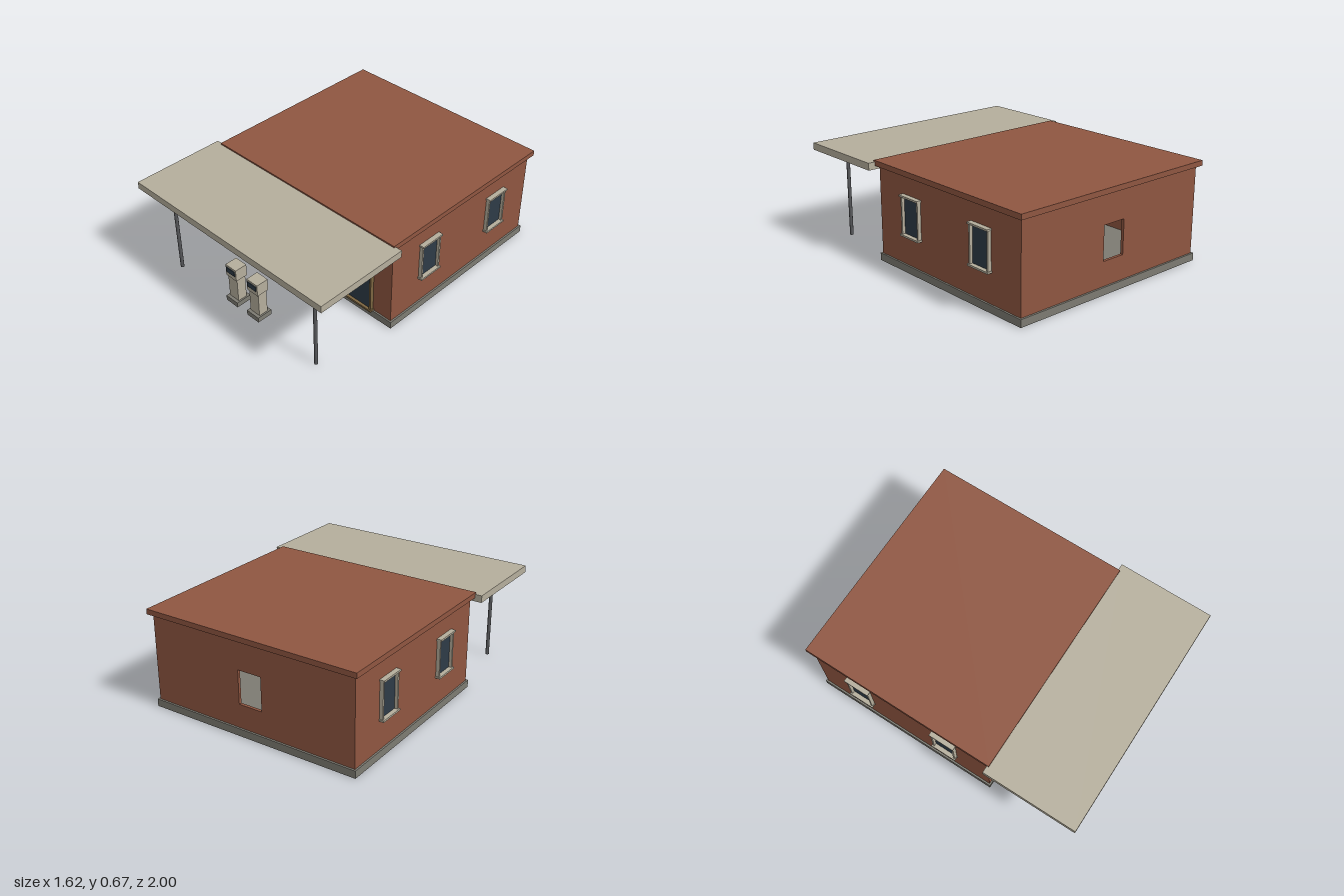
import * as THREE from 'three';

const mat = (name, color) => {
  const m = new THREE.MeshStandardMaterial({ color });
  m.name = name;
  return m;
};

export function createModel() {
  const brick = mat('brick red', 0x8f5641);
  const beige = mat('beige', 0xb5ae9c);
  const stone = mat('stone grey', 0x7d7b72);
  const steel = mat('dark steel', 0x58595c);
  const glass = mat('dark glass', 0x2e3b47);
  const wood = mat('brown frame', 0x7c6541);

  const model = new THREE.Group();
  model.name = 'fillingStation';

  // Box given by its extents on each axis
  const box = (parent, name, m, [x0, x1], [y0, y1], [z0, z1]) => {
    const mesh = new THREE.Mesh(new THREE.BoxGeometry(x1 - x0, y1 - y0, z1 - z0), m);
    mesh.position.set((x0 + x1) / 2, (y0 + y1) / 2, (z0 + z1) / 2);
    mesh.name = name;
    parent.add(mesh);
    return mesh;
  };
  const group = (name, parent = model) => {
    const g = new THREE.Group();
    g.name = name;
    parent.add(g);
    return g;
  };

  // Foundation, roof slab and canopy
  box(model, 'foundation', stone, [-0.75, 0.75], [0, 0.05], [-0.985, 0.35]);
  box(model, 'roof', brick, [-0.765, 0.765], [0.635, 0.67], [-1, 0.363]);
  box(model, 'canopy', beige, [-0.812, 0.812], [0.612, 0.66], [0.35, 1]);

  // Hollow walls; front and back have openings
  const T = 0.02, front = 0.339, back = -0.972, W = 0.738;
  const rect = (P, x0, x1, y0, y1) => {
    const p = new P();
    p.moveTo(x0, y0).lineTo(x1, y0).lineTo(x1, y1).lineTo(x0, y1).closePath();
    return p;
  };
  const wall = (name, z, holes) => {
    const s = rect(THREE.Shape, -W, W, 0.05, 0.635);
    s.holes = holes.map((h) => rect(THREE.Path, ...h));
    const mesh = new THREE.Mesh(new THREE.ExtrudeGeometry(s, { depth: T, bevelEnabled: false }), brick);
    mesh.position.z = z;
    mesh.name = name;
    model.add(mesh);
  };
  wall('frontWall', front - T, [[-0.54, -0.345, 0.06, 0.537], [-0.147, 0.59, 0.06, 0.537]]);
  wall('backWall', back, [[-0.083, 0.085, 0.21, 0.437]]);
  for (const s of [-1, 1]) {
    const xs = [s * W, s * (W - T)].sort((a, b) => a - b);
    box(model, 'sideWall', brick, xs, [0.05, 0.635], [back + T, front - T]);
  }

  // Front door and shop window: posts, projecting rails, centre bar and glass
  const glazing = (name, x0, x1, y0, y1, bar, post) => {
    const g = group(name);
    const z = [0.32, 0.365], rail = [x0 - 0.007, x1 + 0.007];
    box(g, 'leftPost', wood, [x0, x0 + post], [y0, y1], z);
    box(g, 'rightPost', wood, [x1 - post, x1], [y0, y1], z);
    box(g, 'topRail', wood, rail, [y1 - 0.014, y1], [0.32, 0.373]);
    box(g, 'bottomRail', wood, rail, [y0, y0 + 0.014], [0.32, 0.373]);
    box(g, 'centreBar', wood, [x0 + post, x1 - post], [bar - 0.003, bar + 0.003], [0.35, 0.36]);
    box(g, 'pane', glass, [x0 + post, x1 - post], [y0 + 0.012, y1 - 0.012], [0.346, 0.354]);
  };
  glazing('door', -0.54, -0.342, 0.012, 0.485, 0.265, 0.017);
  glazing('shopWindow', -0.13, 0.593, 0.05, 0.537, 0.307, 0.013);

  // Two framed windows on each side wall
  for (const s of [-1, 1]) {
    for (const zc of [0.008, -0.64]) {
      const g = group('sideWindow');
      const part = (name, m, a, b, y, z) =>
        box(g, name, m, [s * a, s * b].sort((p, q) => p - q), y, z);
      part('pane', glass, 0.735, 0.742, [0.25, 0.5], [zc - 0.08, zc + 0.08]);
      for (const e of [-1, 1]) {
        const c = zc + e * 0.079;
        part('jamb', beige, 0.735, 0.762, [0.25, 0.5], [c - 0.006, c + 0.006]);
      }
      for (const y of [0.243, 0.497])
        part('sill', beige, 0.735, 0.771, [y, y + 0.012], [zc - 0.09, zc + 0.09]);
    }
  }

  // Canopy posts
  for (const s of [-1, 1]) {
    const post = new THREE.Mesh(new THREE.CylinderGeometry(0.012, 0.012, 0.612, 12), steel);
    post.position.set(s * 0.63, 0.306, 0.872);
    post.name = 'canopyPost';
    model.add(post);
  }

  // Fuel pumps
  for (const x of [-0.1, 0.095]) {
    const g = group('pump');
    g.position.set(x, 0, 0.84);
    box(g, 'base', stone, [-0.052, 0.052], [0.022, 0.058], [-0.054, 0.054]);
    box(g, 'body', beige, [-0.041, 0.041], [0.058, 0.23], [-0.033, 0.033]);
    box(g, 'head', beige, [-0.047, 0.047], [0.228, 0.312], [-0.043, 0.043]);
    box(g, 'screen', glass, [-0.037, 0.037], [0.262, 0.298], [0.041, 0.048]);
  }
  return model;
}
